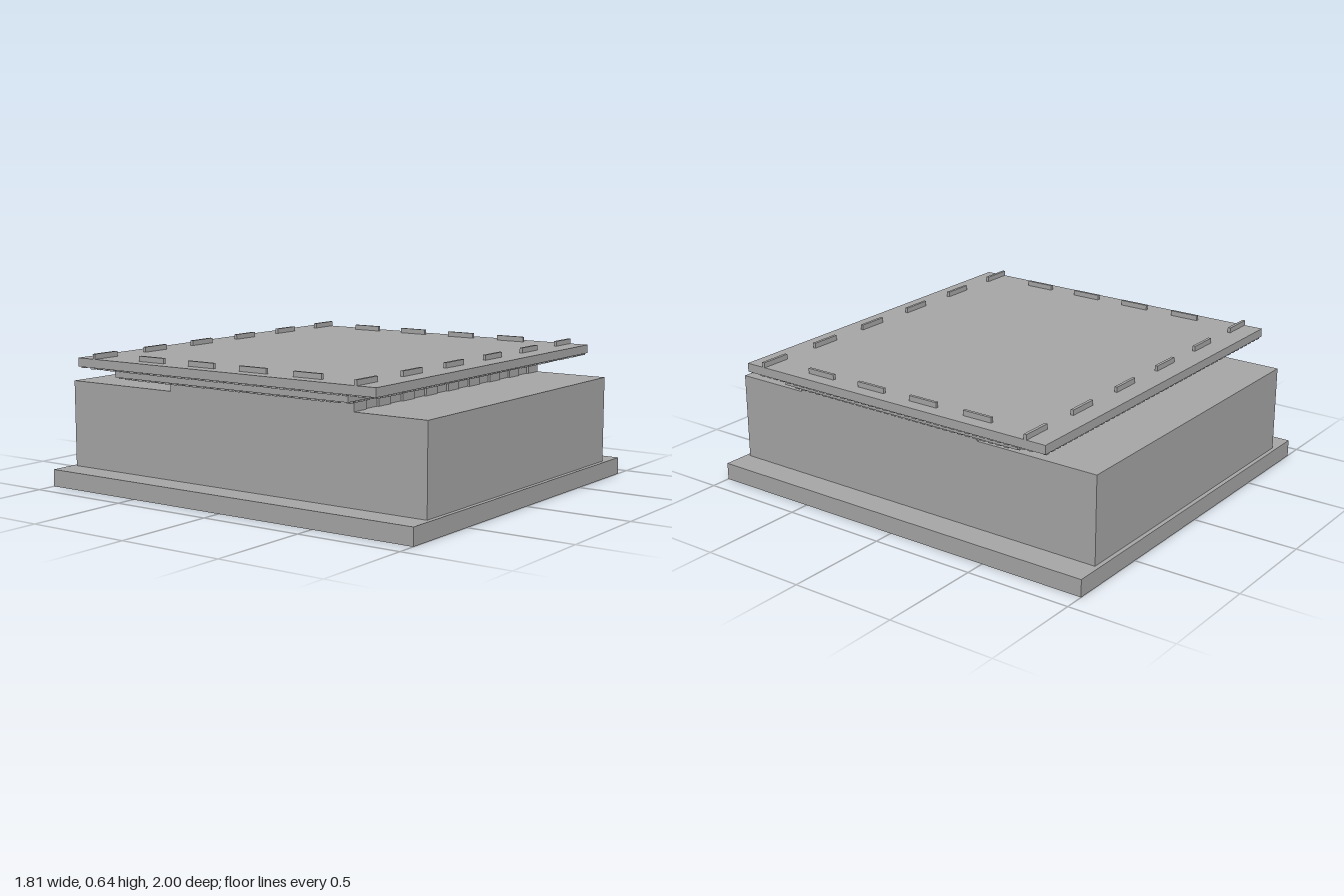
import * as THREE from 'three';

export function createModel() {
  const model = new THREE.Group();
  const stone = new THREE.MeshStandardMaterial({ color: 0xa6a6a6 });
  stone.name = 'grey stone';

  // Box given by its lower and upper limits on each axis
  function block(name, [x0, x1], [y0, y1], [z0, z1]) {
    const mesh = new THREE.Mesh(new THREE.BoxGeometry(x1 - x0, y1 - y0, z1 - z0), stone);
    mesh.position.set((x0 + x1) / 2, (y0 + y1) / 2, (z0 + z1) / 2);
    mesh.name = name;
    model.add(mesh);
  }

  // Row of small teeth under all four edges of a slab
  function dentils(name, halfX, halfZ, top) {
    const h = 0.008, d = 0.016, pitch = 0.04, w = 0.024;
    const y = [top - h, top];
    const nx = Math.floor((2 * halfX) / pitch), nz = Math.floor((2 * halfZ) / pitch);
    for (const s of [-1, 1]) {
      const span = (c, half) => [c - half, c + half];
      for (let i = 0; i < nx; i++) {
        const x = (i - (nx - 1) / 2) * pitch;
        block(name, span(x, w / 2), y, span(s * (halfZ - d / 2 - 0.002), d / 2));
      }
      for (let i = 1; i < nz - 1; i++) {
        const z = (i - (nz - 1) / 2) * pitch;
        block(name, span(s * (halfX - d / 2 - 0.002), d / 2), y, span(z, w / 2));
      }
    }
  }

  // Plinth, main block and the narrower neck on top of it
  block('plinth', [-0.905, 0.905], [0, 0.08], [-1, 1]);
  block('body', [-0.775, 0.775], [0.08, 0.485], [-0.98, 0.98]);
  block('neck', [-0.775, 0.775], [0.485, 0.535], [-0.38, 0.61]);

  // Thin pilasters on the front of the neck
  const step = 1.55 / 17;
  for (let i = 0; i < 9; i++) {
    const x = -0.775 + 2 * i * step;
    block('pilaster', [x, x + step], [0.485, 0.525], [0.61, 0.62]);
  }

  // Stepped cornice slabs
  block('lowerCornice', [-0.85, 0.85], [0.535, 0.577], [-0.645, 0.645]);
  dentils('lowerDentil', 0.845, 0.643, 0.535);
  block('roofSlab', [-0.905, 0.905], [0.577, 0.617], [-0.82, 0.82]);
  dentils('roofDentil', 0.9, 0.817, 0.577);

  // Upright bars around the roof edge
  for (const s of [-1, 1]) {
    for (let i = 0; i < 6; i++) {
      const x = (i - 2.5) * 0.333;
      block('endBar', [x - 0.073, x + 0.073], [0.617, 0.641], [s * 0.721 - 0.007, s * 0.721 + 0.007]);
    }
    for (let i = 0; i < 4; i++) {
      const z = (i - 1.5) * 0.288;
      block('sideBar', [s * 0.835 - 0.007, s * 0.835 + 0.007], [0.617, 0.641], [z - 0.073, z + 0.073]);
    }
  }
  return model;
}
